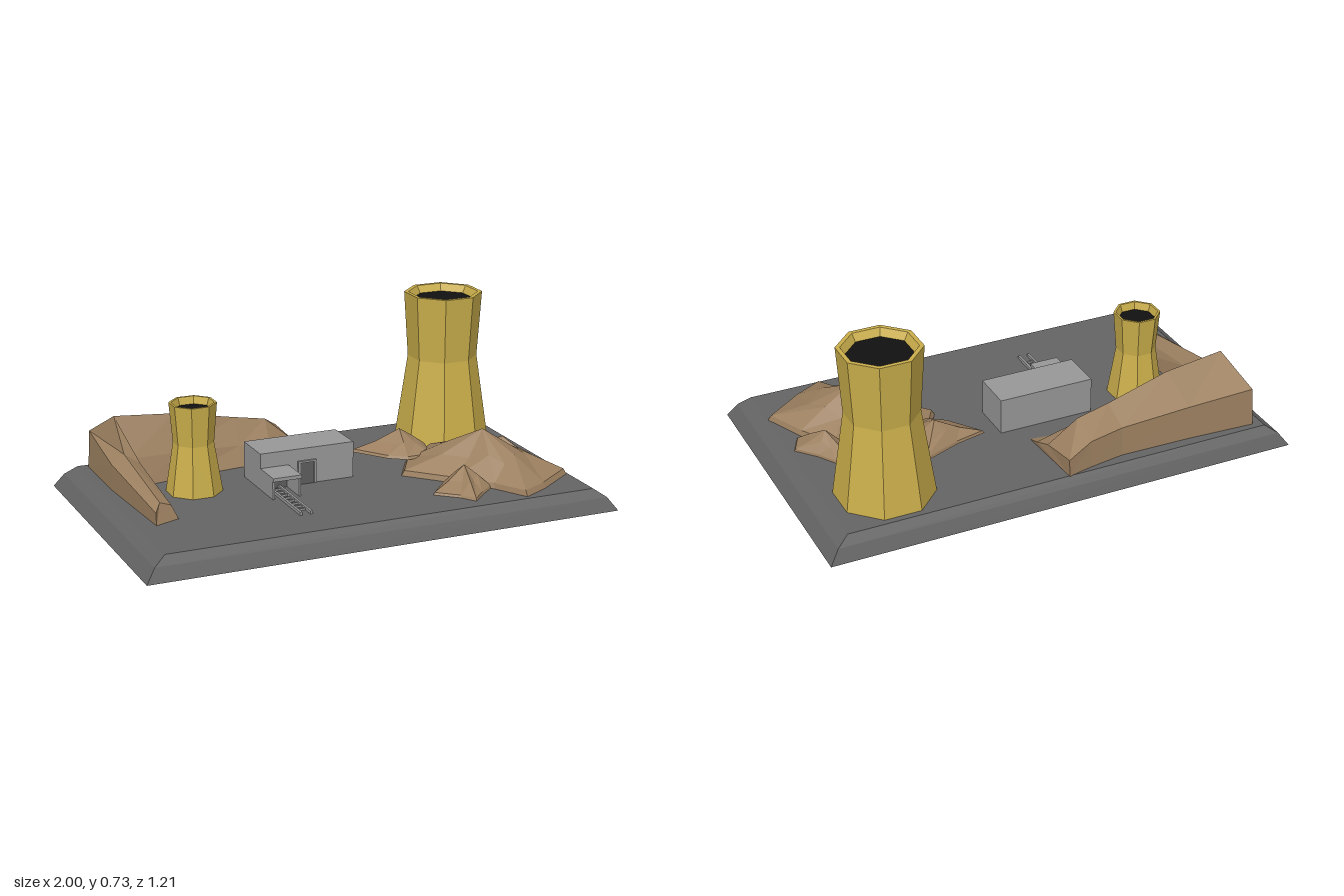
import * as THREE from 'three';

const GROUND = 0.09;

function makeMaterial(name, color) {
  const m = new THREE.MeshStandardMaterial({ color, flatShading: true, side: THREE.DoubleSide });
  m.name = name;
  return m;
}

// Skin between rings of [x, y, z] points, optionally wrapped and capped
function loft(rings, { wrap = true, capStart = false, capEnd = false } = {}) {
  const n = rings[0].length, index = [];
  for (let r = 0; r < rings.length - 1; r++) {
    for (let i = 0; i < (wrap ? n : n - 1); i++) {
      const j = (i + 1) % n, a = r * n + i, b = r * n + j;
      index.push(a, b, b + n, a, b + n, a + n);
    }
  }
  const last = (rings.length - 1) * n;
  for (let i = 1; i < n - 1; i++) {
    if (capStart) index.push(0, i + 1, i);
    if (capEnd) index.push(last, last + i, last + i + 1);
  }
  const g = new THREE.BufferGeometry();
  g.setAttribute('position', new THREE.Float32BufferAttribute(rings.flat(2), 3));
  g.setIndex(index);
  const flat = g.toNonIndexed();
  flat.computeVertexNormals();
  return flat;
}

export function createModel() {
  const model = new THREE.Group();
  const slate = makeMaterial('slate', 0x646464);
  const gold = makeMaterial('gold', 0xcaae4b);
  const rock = makeMaterial('rock', 0x9c8060);
  const concrete = makeMaterial('concrete', 0x989898);
  const steel = makeMaterial('darkSteel', 0x5e5e5e);
  const black = makeMaterial('black', 0x111111);

  const add = (name, geometry, material, parent = model) => {
    const mesh = new THREE.Mesh(geometry, material);
    mesh.name = name;
    parent.add(mesh);
    return mesh;
  };
  // Box given by its limits on each axis
  const box = (name, [x0, x1], [y0, y1], [z0, z1], material, parent) =>
    add(name, new THREE.BoxGeometry(x1 - x0, y1 - y0, z1 - z0), material, parent)
      .position.set((x0 + x1) / 2, (y0 + y1) / 2, (z0 + z1) / 2);

  // Hollow base plate with bevelled rim
  const rect = (x, y, z) => [[x, y, z], [x, y, -z], [-x, y, -z], [-x, y, z]];
  add('basePlate', loft([
    rect(1, 0, 0.605), rect(0.96, 0.055, 0.58), rect(0.91, GROUND, 0.552),
  ], { capEnd: true }), slate);

  // Eight-sided cooling towers with a dark mouth
  const tower = (name, x, z, foot, neck, neckY, top, topY, mouth) => {
    const group = new THREE.Group();
    group.name = name;
    group.position.set(x, 0, z);
    model.add(group);
    const k = 1 / Math.cos(Math.PI / 8);
    const depth = topY - 0.03;
    const profile = [
      [foot, GROUND - 0.006], [neck, neckY], [top, topY], [(top + mouth) / 2, topY], [mouth, depth],
    ].map(([r, y]) => new THREE.Vector2(r * k, y));
    add('towerShell', new THREE.LatheGeometry(profile, 8, Math.PI / 8).toNonIndexed(), gold, group);
    const disc = new THREE.CircleGeometry(mouth * k, 8, Math.PI / 8);
    disc.rotateX(-Math.PI / 2);
    add('towerMouth', disc, black, group).position.y = depth;
  };
  tower('largeTower', 0.673, -0.34, 0.187, 0.137, 0.45, 0.154, 0.73, 0.12);
  tower('smallTower', -0.567, -0.073, 0.107, 0.076, 0.295, 0.089, 0.46, 0.071);

  // Bent cliff: sections run outer foot, shoulder, crest, inner slope, inner foot
  const B = GROUND - 0.002;
  add('cliff', loft([
    [[-0.02, B, -0.555], [-0.02, 0.16, -0.55], [-0.01, 0.14, -0.38], [0, 0.11, -0.3], [0, B, -0.235]],
    [[-0.13, B, -0.53], [-0.13, 0.2, -0.52], [-0.13, 0.243, -0.4], [-0.14, 0.17, -0.33], [-0.13, B, -0.25]],
    [[-0.28, B, -0.505], [-0.28, 0.21, -0.495], [-0.27, 0.27, -0.39], [-0.28, 0.17, -0.31], [-0.29, B, -0.265]],
    [[-0.58, B, -0.51], [-0.58, 0.23, -0.5], [-0.55, 0.33, -0.36], [-0.56, 0.19, -0.27], [-0.58, B, -0.23]],
    [[-0.87, B, -0.525], [-0.865, 0.25, -0.515], [-0.81, 0.355, -0.345], [-0.78, 0.2, -0.24], [-0.76, B, -0.2]],
    [[-0.87, B, -0.2], [-0.87, 0.2, -0.2], [-0.82, 0.24, -0.19], [-0.76, 0.2, -0.17], [-0.74, B, -0.18]],
    [[-0.84, B, 0.255], [-0.84, 0.14, 0.25], [-0.81, 0.165, 0.21], [-0.76, 0.145, 0.2], [-0.735, B, 0.215]],
  ], { capStart: true, capEnd: true }), rock);

  // Rocky hills: irregular outline drawn in towards a peak
  const hill = (name, [px, py, pz], footY, outline) => {
    const points = outline.slice().reverse();
    const ring = (t, rise) => points.map(([x, z], i) => [
      px + (x - px) * t, footY + (py - footY) * rise(i), pz + (z - pz) * t,
    ]);
    add(name, loft([
      ring(1, () => 0), ring(0.96, () => 0.13),
      ring(0.5, (i) => (i % 2 ? 0.58 : 0.46)), ring(0, () => 1),
    ]), rock);
  };
  hill('mainHill', [0.6, 0.275, 0.18], B, [
    [0.27, 0.1], [0.36, -0.05], [0.54, -0.19], [0.68, -0.06], [0.74, 0.03], [0.83, 0.18],
    [0.905, 0.35], [0.74, 0.47], [0.62, 0.535], [0.545, 0.4], [0.43, 0.27],
  ]);
  hill('backHill', [0.37, 0.215, -0.13], 0.125, [
    [0.17, -0.17], [0.3, -0.2], [0.465, -0.265], [0.49, -0.12], [0.45, 0.02], [0.34, 0.02], [0.27, -0.03],
  ]);
  hill('frontHill', [0.45, 0.18, 0.31], B, [
    [0.285, 0.365], [0.38, 0.26], [0.53, 0.26], [0.54, 0.38], [0.47, 0.44], [0.41, 0.5], [0.37, 0.44],
  ]);
  hill('sideHill', [0.77, 0.18, 0.04], B, [
    [0.66, 0.0], [0.71, -0.125], [0.77, -0.08], [0.82, 0], [0.89, 0.08], [0.85, 0.16], [0.72, 0.14],
  ]);

  // Main building with framed door
  const building = new THREE.Group();
  building.name = 'building';
  model.add(building);
  box('mainBlock', [-0.322, 0.086], [B, 0.241], [-0.15, 0.03], concrete, building);
  box('door', [-0.15, -0.09], [GROUND, 0.182], [0.028, 0.034], steel, building);
  for (const x of [-0.16, -0.09]) box('doorPost', [x, x + 0.008], [GROUND, 0.19], [0.028, 0.038], concrete, building);
  box('doorLintel', [-0.16, -0.082], [0.182, 0.19], [0.028, 0.04], concrete, building);

  // Open shed where the track enters
  const shed = new THREE.Group();
  shed.name = 'shed';
  model.add(shed);
  box('shedRoof', [-0.322, -0.2], [0.165, 0.18], [0.03, 0.167], concrete, shed);
  for (const x of [-0.322, -0.21]) box('shedWall', [x, x + 0.01], [GROUND, 0.166], [0.03, 0.16], concrete, shed);
  box('shedBack', [-0.312, -0.21], [GROUND, 0.165], [0.03, 0.036], steel, shed);

  // Track on the ground
  const track = new THREE.Group();
  track.name = 'track';
  model.add(track);
  for (const x of [-0.293, -0.25]) box('rail', [x, x + 0.01], [GROUND, 0.103], [0.04, 0.37], concrete, track);
  for (let i = 0; i < 8; i++) {
    const z = 0.06 + i * 0.036;
    box('sleeper', [-0.29, -0.243], [GROUND, 0.098], [z, z + 0.008], concrete, track);
  }
  return model;
}
